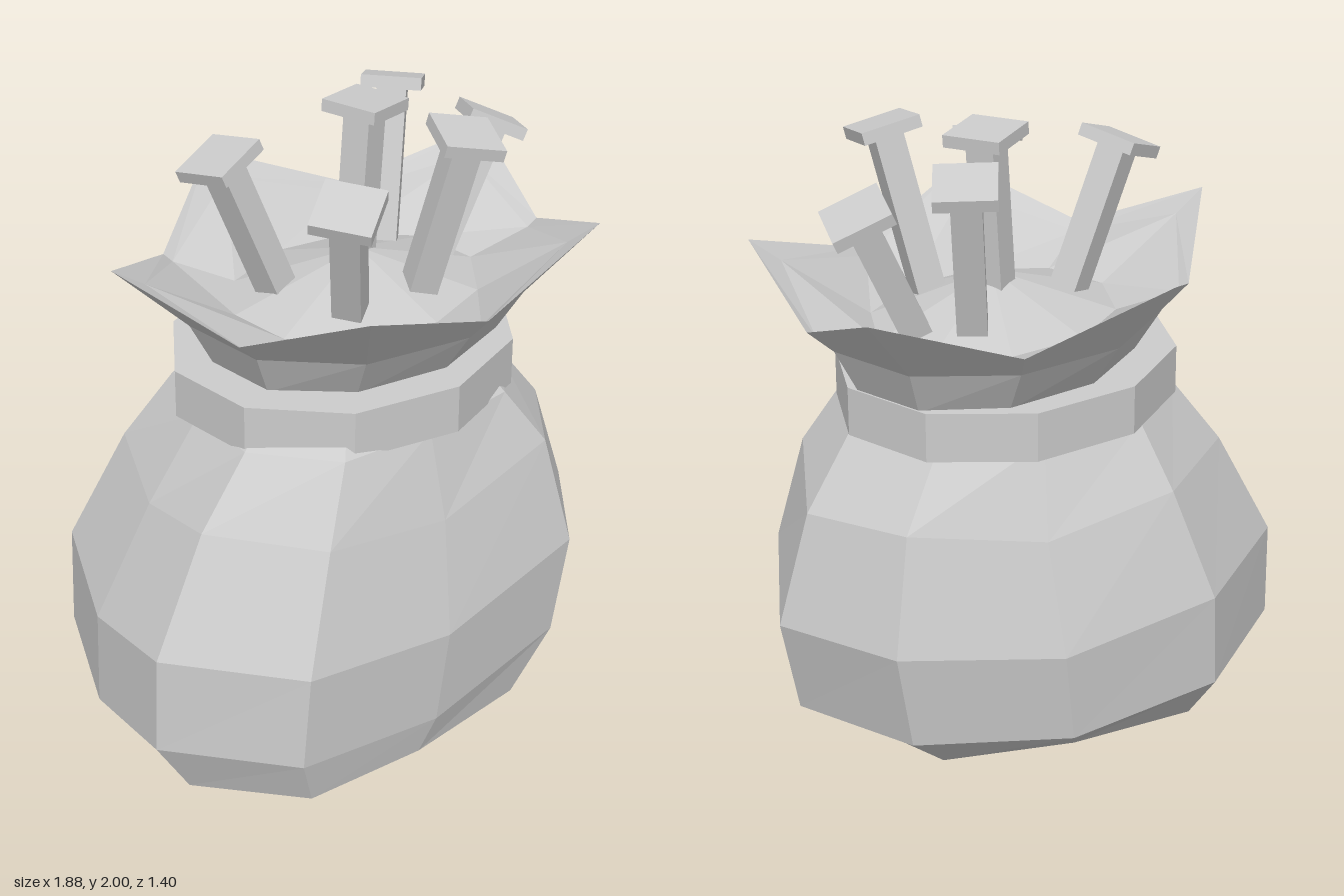
import * as THREE from 'three';

const SIDES = 10;
const UP = new THREE.Vector3(0, 1, 0);

// One decagon ring; odd corners (the peaks) and even corners (the valleys) may differ
function ring(rx, rz, yPeak, yValley = yPeak, peak = 1, valley = 1) {
  return Array.from({ length: SIDES }, (_, k) => {
    const a = THREE.MathUtils.degToRad(162 - 36 * k);
    const s = k % 2 ? peak : valley;
    return [0.12 + rx * s * Math.cos(a), k % 2 ? yPeak : yValley, 0.05 + rz * s * Math.sin(a)];
  });
}

const point = (x, y, z) => Array.from({ length: SIDES }, () => [x, y, z]);

// Skins consecutive rings, with optional end points closing the surface
function loft(rings) {
  const pos = [];
  const tri = (a, b, c) => {
    const same = (p, q) => p.every((v, i) => v === q[i]);
    if (!same(a, b) && !same(b, c) && !same(c, a)) pos.push(...a, ...b, ...c);
  };
  for (let r = 0; r < rings.length - 1; r++) {
    for (let k = 0; k < SIDES; k++) {
      const n = (k + 1) % SIDES;
      const [lo, hi] = [rings[r], rings[r + 1]];
      tri(lo[k], lo[n], hi[n]);
      tri(lo[k], hi[n], hi[k]);
    }
  }
  const g = new THREE.BufferGeometry();
  g.setAttribute('position', new THREE.Float32BufferAttribute(pos, 3));
  g.computeVertexNormals();
  return g;
}

export function createModel() {
  const group = new THREE.Group();
  const grey = new THREE.MeshStandardMaterial({ color: 0xcccccc, flatShading: true });
  grey.name = 'light grey';
  const add = (parent, name, geometry) => {
    const mesh = new THREE.Mesh(geometry, grey);
    mesh.name = name;
    parent.add(mesh);
    return mesh;
  };

  // Sagging sack: one lumpy outline [x, z, height offset], scaled and shifted per level
  const outline = [
    [-0.93, 0.26, 0.03], [-0.63, 0.63, 0], [-0.09, 0.7, -0.05], [0.5, 0.68, 0.04], [0.88, 0.3, -0.02],
    [0.88, -0.2, 0.03], [0.43, -0.5, -0.05], [-0.08, -0.7, 0.02], [-0.63, -0.53, 0.01], [-0.84, -0.14, -0.04],
  ];
  const level = (y, sx, dx, sz, dz, lump = 1) =>
    outline.map(([x, z, h]) => [x * sx + dx, y + h * lump, z * sz + dz]);
  add(group, 'sackBody', loft([
    point(-0.1, 0, 0.05),
    level(0, 0.78, -0.1, 0.86, 0.05, 0),
    level(0.165, 0.967, -0.04, 0.98, 0, 0.8),
    level(0.49, 1, 0, 1, 0),
    level(0.85, 0.82, 0.045, 0.84, 0.02),
    level(1.08, 0.6, 0.04, 0.69, 0.04, 0),
    level(1.15, 0.52, 0.05, 0.6, 0.04, 0),
  ]));

  // Tie band round the neck
  const band = add(group, 'neckBand', new THREE.CylinderGeometry(1, 1, 0.16, SIDES));
  band.scale.set(0.6, 1, 0.52);
  band.position.set(0.06, 1.15, 0.05);

  // Flared collar with five points, folding over to the inner lining
  add(group, 'collar', loft([
    ring(0.525, 0.4, 1.22),
    ring(0.6, 0.5, 1.37),
    ring(0.86, 0.71, 1.62, 1.455, 1, 0.809),
    ring(0.86, 0.71, 1.55, 1.43, 0.87, 0.77),
    ring(0.44, 0.36, 1.37),
  ]));

  // Heaped contents
  add(group, 'filling', loft([ring(0.44, 0.36, 1.37), point(0.12, 1.51, 0.06)]));

  // Nails: head centre, foot x and z, and turn of the square head in degrees
  const nails = [
    [-0.29, 1.87, -0.13, -0.12, -0.06, 8],
    [0.175, 1.97, 0.03, 0.13, 0.03, 12],
    [0.48, 1.915, -0.15, 0.35, -0.06, 40],
    [0.66, 1.81, 0.12, 0.46, 0.08, -36],
    [-0.2, 1.825, 0.34, -0.07, 0.22, 30],
    [0.255, 1.945, 0.385, 0.2, 0.25, -28],
  ];
  for (const [x, y, z, fx, fz, turn] of nails) {
    const head = new THREE.Vector3(x, y, z);
    const axis = head.clone().sub(new THREE.Vector3(fx, 1.4, fz));
    const length = axis.length();
    const nail = new THREE.Group();
    nail.name = 'nail';
    nail.position.copy(head);
    nail.quaternion.setFromUnitVectors(UP, axis.normalize());
    nail.rotateY(THREE.MathUtils.degToRad(turn));
    add(nail, 'nailHead', new THREE.BoxGeometry(0.195, 0.04, 0.195));
    add(nail, 'nailShank', new THREE.BoxGeometry(0.095, length, 0.095)).position.y = -length / 2;
    group.add(nail);
  }
  return group;
}
